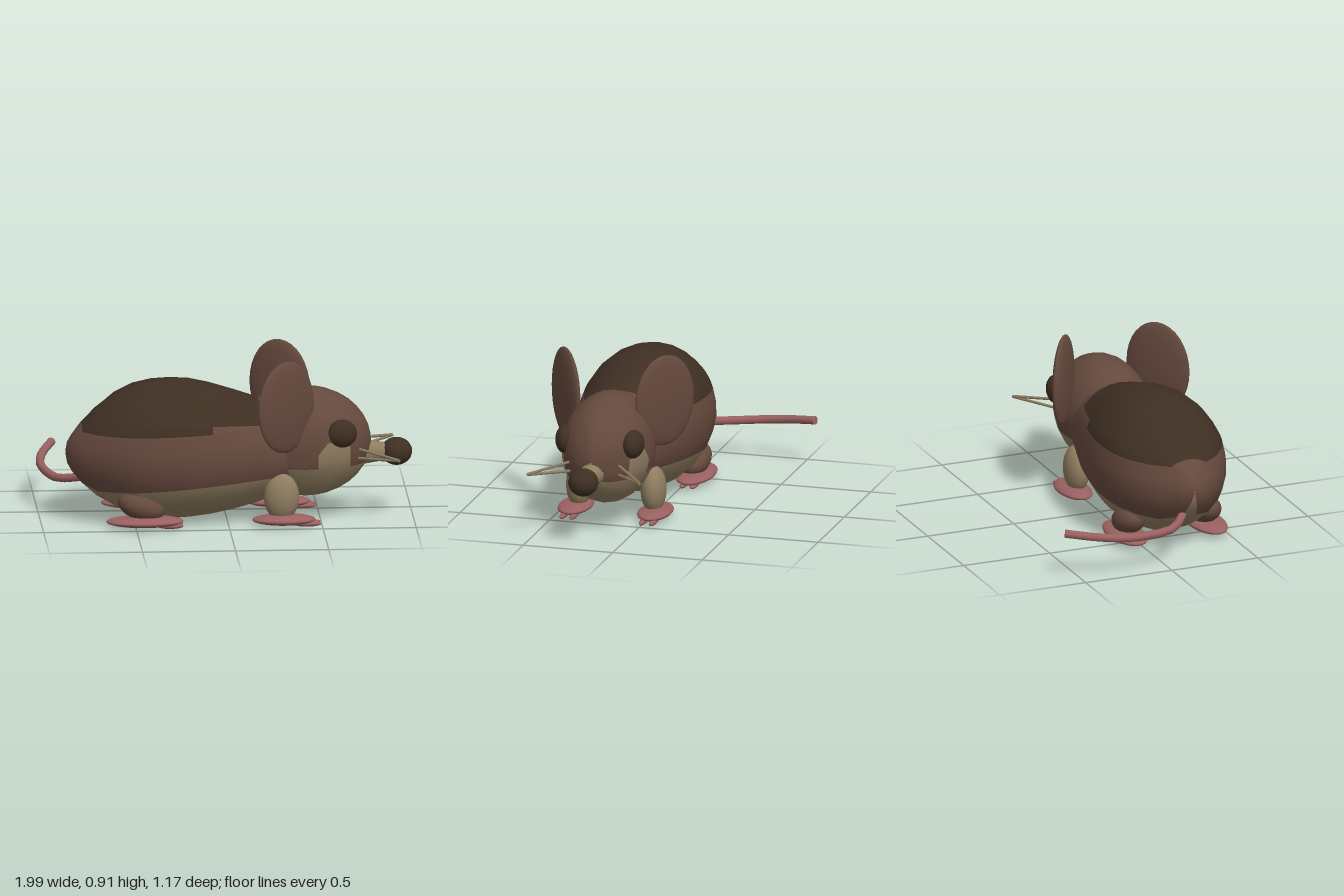
import * as THREE from 'three';

const MID = 0.19; // z of the body's symmetry plane
const mat = (name, color) => {
  const m = new THREE.MeshStandardMaterial({ color });
  m.name = name;
  return m;
};

// Skin along x from elliptical rings [x, top, bottom, halfWidth]. Three heights per
// ring split each side into four strips; paint(x, strip) picks the material index.
function loft(rings, heights, paint) {
  const SUB = 4, N = SUB * 8;
  const pos = [], index = [[], [], []];
  for (const [x, top, bottom, rz] of rings) {
    const cy = (top + bottom) / 2, ry = (top - bottom) / 2;
    const cuts = heights(x).map(y => Math.asin(THREE.MathUtils.clamp((y - cy) / ry, -0.97, 0.97)));
    const stops = [-Math.PI / 2, ...cuts, Math.PI / 2];
    for (let j = 0; j < N; j++) {
      const k = j <= N / 2 ? j : N - j;
      const s = Math.min(Math.floor(k / SUB), 3);
      const a = THREE.MathUtils.lerp(stops[s], stops[s + 1], k / SUB - s);
      const side = j <= N / 2 ? 1 : -1;
      pos.push(x, cy + ry * Math.sin(a), MID + side * rz * Math.cos(a));
    }
  }
  for (let i = 0; i < rings.length - 1; i++) {
    const x = (rings[i][0] + rings[i + 1][0]) / 2;
    for (let j = 0; j < N; j++) {
      const strip = Math.floor((j < N / 2 ? j : N - 1 - j) / SUB);
      const a = i * N + j, b = i * N + (j + 1) % N;
      index[paint(x, strip)].push(a, a + N, b + N, a, b + N, b);
    }
  }
  const geo = new THREE.BufferGeometry();
  geo.setAttribute('position', new THREE.Float32BufferAttribute(pos, 3));
  geo.setIndex(index.flat());
  let start = 0;
  index.forEach((list, m) => {
    geo.addGroup(start, list.length, m);
    start += list.length;
  });
  geo.computeVertexNormals();
  return geo;
}

export function createModel() {
  const model = new THREE.Group();
  model.name = 'mouse';
  const brown = mat('brown fur', 0x65493d);
  const dark = mat('dark fur', 0x3f2f23);
  const cream = mat('cream fur', 0x8f7d60);
  const pink = mat('pink skin', 0x9a6060);
  const furs = [brown, dark, cream];

  const add = (name, geo, material) => {
    const mesh = new THREE.Mesh(geo, material);
    mesh.name = name;
    model.add(mesh);
    return mesh;
  };
  const ball = (name, material, [x, y, z], [rx, ry, rz], yaw = 0, tilt = 0) => {
    const mesh = add(name, new THREE.SphereGeometry(1, 24, 16), material);
    mesh.position.set(x, y, z);
    mesh.scale.set(rx, ry, rz);
    mesh.rotation.set(0, yaw, tilt);
    return mesh;
  };

  // Body with a dark back and a cream belly
  const bodyRings = [
    [-0.865, 0.385, 0.375, 0.005], [-0.855, 0.435, 0.32, 0.06], [-0.83, 0.475, 0.275, 0.11],
    [-0.78, 0.54, 0.215, 0.175], [-0.7, 0.62, 0.145, 0.24], [-0.6, 0.7, 0.087, 0.295],
    [-0.5, 0.748, 0.045, 0.33], [-0.4, 0.77, 0.024, 0.346], [-0.3, 0.776, 0.016, 0.351],
    [-0.2, 0.77, 0.022, 0.345], [-0.09, 0.746, 0.036, 0.33], [0.04, 0.706, 0.063, 0.305],
    [0.17, 0.663, 0.1, 0.27], [0.3, 0.61, 0.15, 0.235], [0.45, 0.55, 0.22, 0.17], [0.5, 0.4, 0.39, 0.005],
  ];
  const bodyHeights = x => [
    0.185 + 0.083 * (x + 0.8),
    0.51 + 0.03 * (x + 0.78),
    0.57 - 0.05 * (x + 0.09),
  ];
  add('body', loft(bodyRings, bodyHeights, (x, strip) => {
    if (strip === 0) return 2;
    if (x < -0.78 || x > 0.17) return 0;
    return strip === 3 || (strip === 2 && x < -0.09) ? 1 : 0;
  }), furs);

  // Head with a cream chin and cheeks
  const headRings = [0.067, 0.085, 0.12, 0.18, 0.26, 0.34, 0.42, 0.48, 0.53, 0.6, 0.655, 0.7, 0.735, 0.76, 0.772, 0.775]
    .map(x => {
      const f = Math.sqrt(Math.max(1 - ((x - 0.42) / 0.355) ** 2, 0.0004));
      return [x, 0.425 + 0.3 * f, 0.425 - 0.3 * f, 0.245 * f];
    });
  const headHeights = x => [
    0.315,
    0.47 - 1.3 * Math.max(0, 0.54 - x) - 0.8 * Math.max(0, x - 0.6),
    0.6,
  ].map((y, i, all) => Math.max(y, all[0] + 0.01 * i));
  add('head', loft(headRings, headHeights, (x, strip) =>
    strip === 0 || (strip === 1 && x > 0.48 && x < 0.655) ? 2 : 0), furs);

  // Snout and nose
  const snout = add('snout', new THREE.CylinderGeometry(0.045, 0.078, 0.2, 20), cream);
  snout.rotation.z = -Math.PI / 2;
  snout.position.set(0.77, 0.36, MID);
  ball('nose', dark, [0.913, 0.36, MID], [0.084, 0.075, 0.081]);

  // Paired parts: s = 1 is the +z side
  for (const s of [1, -1]) {
    const side = s > 0 ? 'Right' : 'Left';
    const at = (x, y, off) => [x, y, MID + s * off];
    ball('ear' + side, brown, at(0.303, 0.67, 0.275), [0.195, 0.25, 0.036], s * 0.65);
    ball('eye' + side, dark, at(0.608, 0.502, 0.19), [0.083, 0.077, 0.053], s * 0.18);

    ball('frontLeg' + side, cream, at(0.283, 0.163, 0.208), [0.095, 0.13, 0.068]);
    ball('hindLeg' + side, brown, at(-0.47, 0.125, 0.22), [0.13, 0.075, 0.085], 0, -0.3);
    ball('frontFoot' + side, pink, at(0.295, 0.043, 0.222), [0.17, 0.029, 0.09]);
    ball('hindFoot' + side, pink, at(-0.452, 0.045, 0.233), [0.208, 0.03, 0.1]);

    // Toes
    for (const d of [-0.028, 0.028]) {
      ball('frontToe' + side, pink, at(0.42, 0.023, 0.222 + d), [0.075, 0.015, 0.018]);
      ball('hindToe' + side, pink, at(-0.315, 0.023, 0.233 + d), [0.07, 0.015, 0.018]);
    }

    // Whiskers
    for (const [y0, y1] of [[0.408, 0.378], [0.35, 0.376]]) {
      const path = new THREE.LineCurve3(
        new THREE.Vector3(...at(0.67, y0, 0.11)),
        new THREE.Vector3(...at(0.91, y1, 0.315)));
      add('whisker' + side, new THREE.TubeGeometry(path, 1, 0.008, 6), cream).material.side = THREE.DoubleSide;
    }
  }

  // Tail sweeping round to the -z side, with a closed tip
  const tailPath = new THREE.CatmullRomCurve3([
    [-0.76, 0.24, 0.17], [-0.85, 0.215, 0.1], [-0.9, 0.205, 0.045], [-0.95, 0.207, -0.1],
    [-0.973, 0.218, -0.25], [-0.953, 0.238, -0.41], [-0.893, 0.262, -0.575],
  ].map(p => new THREE.Vector3(...p)));
  add('tail', new THREE.TubeGeometry(tailPath, 12, 0.023, 10), pink);
  const tip = add('tailTip', new THREE.CircleGeometry(0.023, 10), pink);
  tip.position.copy(tailPath.getPoint(1));
  tip.lookAt(tip.position.clone().add(tailPath.getTangent(1)));

  return model;
}
